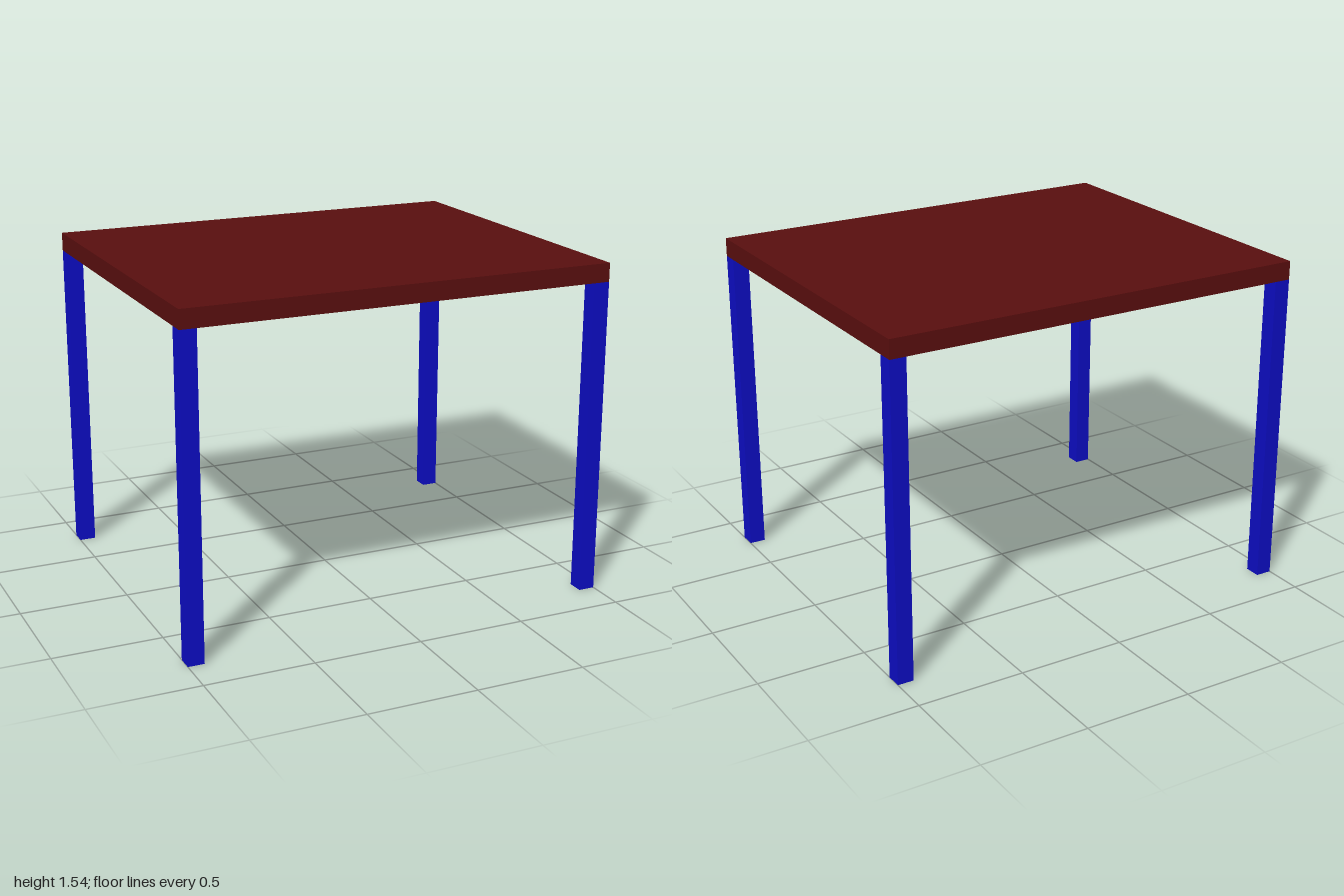
import * as THREE from 'three';

const WIDTH = 2, DEPTH = 1.63, HEIGHT = 1.54;
const TOP = 0.085;  // tabletop thickness
const LEG = 0.075;  // leg side

export function createModel() {
  const table = new THREE.Group();
  table.name = 'table';
  const red = new THREE.MeshStandardMaterial({ color: 0x580e0e });
  const blue = new THREE.MeshStandardMaterial({ color: 0x0c0cc0 });

  // Flat slab resting on the legs
  const top = new THREE.Mesh(new THREE.BoxGeometry(WIDTH, TOP, DEPTH), red);
  top.name = 'tabletop';
  top.position.y = HEIGHT - TOP / 2;
  table.add(top);

  // Four square legs, flush with the corners
  const legHeight = HEIGHT - TOP;
  const legGeometry = new THREE.BoxGeometry(LEG, legHeight, LEG);
  for (const [sx, side] of [[1, 'Left'], [-1, 'Right']]) {
    for (const [sz, end] of [[1, 'front'], [-1, 'back']]) {
      const leg = new THREE.Mesh(legGeometry, blue);
      leg.name = `${end}${side}Leg`;
      leg.position.set(sx * (WIDTH - LEG) / 2, legHeight / 2, sz * (DEPTH - LEG) / 2);
      table.add(leg);
    }
  }
  return table;
}
